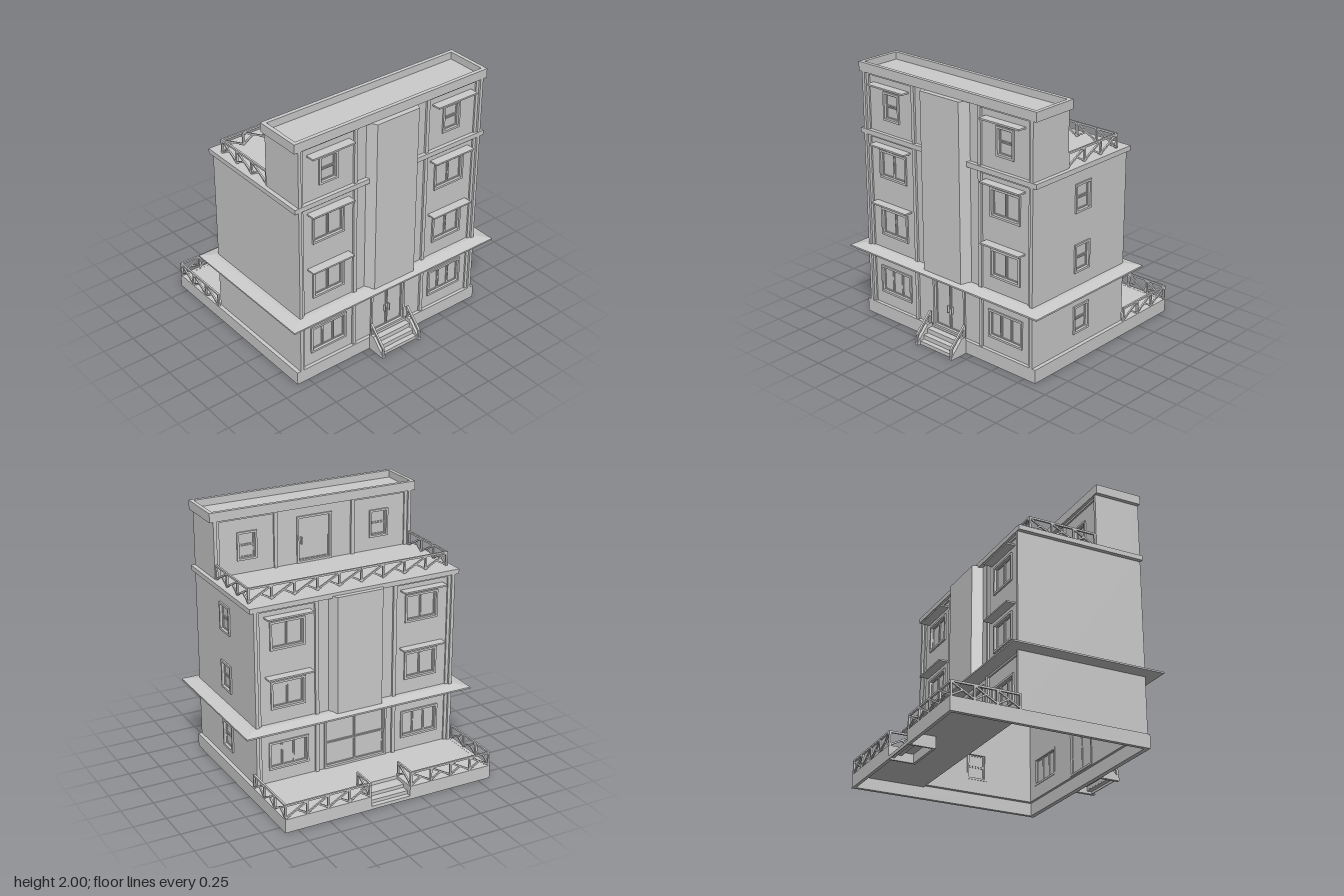
import * as THREE from 'three';

const mat = new THREE.MeshStandardMaterial({ color: 0xcccccc, side: THREE.DoubleSide });
const T = 0.03; // wall thickness

function add(parent, name, geo) {
  const m = new THREE.Mesh(geo, mat);
  m.name = name;
  parent.add(m);
  return m;
}

function box(parent, name, x0, x1, y0, y1, z0, z1) {
  const m = add(parent, name, new THREE.BoxGeometry(x1 - x0, y1 - y0, z1 - z0));
  m.position.set((x0 + x1) / 2, (y0 + y1) / 2, (z0 + z1) / 2);
  return m;
}

function group(parent, name, x = 0, z = 0, ry = 0) {
  const g = new THREE.Group();
  g.name = name;
  g.position.set(x, 0, z);
  g.rotation.y = ry;
  parent.add(g);
  return g;
}

const rect = (x0, x1, y0, y1) => [[x0, y0], [x1, y0], [x1, y1], [x0, y1]];
const vecs = pts => pts.map(p => new THREE.Vector2(p[0], p[1]));

function extrude(pts, holes, depth) {
  const s = new THREE.Shape(vecs(pts));
  for (const h of holes) s.holes.push(new THREE.Path(vecs(h)));
  return new THREE.ExtrudeGeometry(s, { depth, bevelEnabled: false });
}

// Horizontal plate from an outline given as [x, z]
function plateGeo(pts, holes, y0, y1) {
  const flip = a => a.map(([x, z]) => [x, -z]);
  return extrude(flip(pts), holes.map(flip), y1 - y0).rotateX(-Math.PI / 2).translate(0, y0, 0);
}

// Upright wall with its outer face on local z = 0, cut by [x0, x1, y0, y1] openings
function wall(parent, x0, x1, y0, y1, openings = []) {
  add(parent, 'wall', extrude(rect(x0, x1, y0, y1), openings.map(o => rect(...o)), T).translate(0, 0, -T));
}

// Framed window or glazed door filling an opening
function glazing(parent, name, [x0, x1, y0, y1], cols, rows, f = 0.016) {
  const g = group(parent, name);
  const ring = (n, a, b, c, d, w, z0, z1) => add(g, n,
    extrude(rect(a, b, c, d), [rect(a + w, b - w, c + w, d - w)], z1 - z0).translate(0, 0, z0));
  ring('frame', x0, x1, y0, y1, f, -T - 0.004, 0.012);
  const w = (x1 - x0 - 2 * f) / cols, h = (y1 - y0 - 2 * f) / rows;
  for (let i = 0; i < cols; i++) for (let j = 0; j < rows; j++) {
    const a = x0 + f + i * w, b = y0 + f + j * h;
    ring('sash', a + 0.002, a + w - 0.002, b + 0.002, b + h - 0.002, 0.008, -0.022, -0.006);
  }
  box(g, 'pane', x0 + f, x1 - f, y0 + f, y1 - f, -0.018, -0.013);
}

function awning(parent, x, y) {
  box(parent, 'awning', x - 0.18, x + 0.18, y - 0.006, y + 0.006, -0.01, 0.07);
}

// Corner and inner pilasters, mirrored, with a slim band at the top
function pilasters(parent, y0, y1) {
  for (const s of [-1, 1]) {
    const strip = (a, b, d) => box(parent, 'pilaster', Math.min(s * a, s * b), Math.max(s * a, s * b), y0, y1, -0.01, d);
    strip(0.795, 0.82, 0.028);
    strip(0.77, 0.795, 0.012);
    strip(0.307, 0.335, 0.016);
    box(parent, 'topBand', Math.min(s * 0.335, s * 0.77), Math.max(s * 0.335, s * 0.77), y1 - 0.018, y1, -0.01, 0.012);
  }
}

// Hollow projecting bay with slanted cheeks
function bay(parent, y0, y1) {
  const outer = [[-0.228, -0.01], [-0.185, 0.073], [0.185, 0.073], [0.228, -0.01]];
  const inner = [[0.2, -0.01], [0.165, 0.05], [-0.165, 0.05], [-0.2, -0.01]];
  add(parent, 'bay', plateGeo([...outer, ...inner], [], y0, y1));
  add(parent, 'bayCap', plateGeo(outer, [], y1 - 0.012, y1 - 0.001));
}

function bar(parent, name, a, b, t = 0.012) {
  const p = new THREE.Vector3(...a), q = new THREE.Vector3(...b);
  const m = add(parent, name, new THREE.BoxGeometry(t, t, p.distanceTo(q)));
  m.position.copy(p).add(q).multiplyScalar(0.5);
  m.lookAt(q);
}

// Braced railing between two [x, z] points
function railing(parent, a, b, n, y, h = 0.113) {
  const g = group(parent, 'railing');
  const at = (t, v) => [a[0] + (b[0] - a[0]) * t, y + v, a[1] + (b[1] - a[1]) * t];
  bar(g, 'topRail', at(0, h - 0.006), at(1, h - 0.006), 0.014);
  for (let i = 0; i <= n; i++) {
    bar(g, 'post', at(i / n, 0), at(i / n, h), 0.015);
    if (i === n) break;
    bar(g, 'brace', at(i / n, 0.008), at((i + 1) / n, h - 0.01));
    bar(g, 'strut', at((i + 0.5) / n, h / 2), at((i + 1) / n, 0.008));
  }
}

// Open-backed steps; each entry is [top y, z inner, z outer]
function steps(parent, list, halfWidth) {
  for (const [y, zi, zo] of list) {
    box(parent, 'tread', -halfWidth, halfWidth, y - 0.01, y, Math.min(zi, zo), Math.max(zi, zo));
    const d = Math.sign(zo - zi) * 0.006;
    box(parent, 'riser', -halfWidth, halfWidth, Math.max(0, y - 0.036), y - 0.01, Math.min(zo - d, zo), Math.max(zo - d, zo));
  }
}

export function createModel() {
  const root = new THREE.Group();
  root.name = 'building';

  // Hollow plinth with a stair notch, and the back terrace deck
  const notched = (x, z0, z1, nx, nz) => [[-x, z0], [-nx, z0], [-nx, nz], [nx, nz], [nx, z0], [x, z0], [x, z1], [-x, z1]];
  add(root, 'plinth', plateGeo(notched(0.85, -0.835, 0.682, 0.16, -0.645),
    [notched(0.82, -0.81, 0.645, 0.175, -0.625)], 0, 0.105));
  add(root, 'terraceDeck', plateGeo(notched(0.84, -0.825, -0.27, 0.165, -0.64), [], 0.09, 0.104));

  const front = group(root, 'frontFacade', 0, 0.655);
  const back = group(root, 'backFacade', 0, -0.297, Math.PI);
  const roofBack = group(root, 'penthouseBack', 0, 0.345, Math.PI);
  const sideR = group(root, 'windowedSide', 0.82, 0, Math.PI / 2);
  const sideL = group(root, 'plainSide', -0.82, 0, -Math.PI / 2);

  // Ground floor
  const triple = [-1, 1].map(s => [s * 0.55 - 0.16, s * 0.55 + 0.16, 0.205, 0.425]);
  const doorF = [-0.16, 0.16, 0.106, 0.5], doorB = [-0.26, 0.26, 0.106, 0.51];
  for (const [f, door] of [[front, doorF], [back, doorB]]) {
    wall(f, -0.82, 0.82, 0.1, 0.56, [...triple, door]);
    triple.forEach(o => glazing(f, 'tripleWindow', o, 3, 1));
    pilasters(f, 0.1, 0.55);
  }
  glazing(front, 'frontDoor', doorF, 2, 1);
  for (const s of [-1, 1]) box(front, 'doorHandle', s * 0.02 - 0.003, s * 0.02 + 0.003, 0.25, 0.305, -0.013, 0.008);
  glazing(back, 'terraceDoor', doorB, 2, 2);

  // Middle floors, plus the front of the top floor
  for (const s of [-1, 1]) {
    const pair = [0.685, 1.142].map(y => [s * 0.55 - 0.138, s * 0.55 + 0.138, y, y + 0.218]);
    const top = [s * 0.55 - 0.08, s * 0.55 + 0.08, 1.598, 1.815];
    const x0 = s < 0 ? -0.82 : 0.21, x1 = s < 0 ? -0.21 : 0.82;
    wall(front, x0, x1, 0.56, 1.94, [...pair, top]);
    wall(back, x0, x1, 0.56, 1.47, pair);
    for (const f of [front, back]) {
      pair.forEach(o => glazing(f, 'doubleWindow', o, 2, 1));
      awning(f, s * 0.55, 0.944);
      awning(f, s * 0.55, 1.4);
    }
    glazing(front, 'topWindow', top, 1, 2);
    awning(front, s * 0.55, 1.858);
  }
  pilasters(front, 0.57, 1.462);
  pilasters(front, 1.49, 1.932);
  pilasters(back, 0.57, 1.462);
  bay(front, 0.57, 1.932);
  bay(back, 0.57, 1.475);

  // Penthouse rear wall with roof terrace door
  const small = [-1, 1].map(s => [s * 0.55 - 0.08, s * 0.55 + 0.08, 1.598, 1.815]);
  const doorT = [-0.145, 0.145, 1.498, 1.86];
  wall(roofBack, -0.82, 0.82, 1.48, 1.94, [...small, doorT]);
  small.forEach(o => glazing(roofBack, 'topWindow', o, 1, 2));
  glazing(roofBack, 'roofDoor', doorT, 1, 1);
  box(roofBack, 'doorHandle', -0.108, -0.1, 1.64, 1.695, -0.013, 0.01);
  pilasters(roofBack, 1.49, 1.932);

  // Side walls: one with stacked sash windows, one plain
  const sash = [0.205, 0.685, 1.142].map(y => [-0.24, -0.075, y, y + 0.218]);
  wall(sideR, -0.655, 0.297, 0.1, 1.47, sash);
  sash.forEach(o => glazing(sideR, 'sashWindow', o, 1, 2));
  wall(sideL, -0.297, 0.655, 0.1, 1.47);
  wall(sideR, -0.655, -0.345, 1.47, 1.94);
  wall(sideL, 0.345, 0.655, 1.47, 1.94);

  // Hipped eave ring: the upper edge is drawn inward
  const eaveRim = rect(-0.933, 0.933, -0.416, 0.768), eaveHole = [rect(-0.79, 0.79, -0.267, 0.625)];
  add(root, 'eaveEdge', plateGeo(eaveRim, eaveHole, 0.546, 0.558));
  const hip = plateGeo(eaveRim, eaveHole, 0.558, 0.575), p = hip.attributes.position;
  for (let i = 0; i < p.count; i++) if (p.getY(i) > 0.566) {
    p.setX(i, THREE.MathUtils.clamp(p.getX(i), -0.85, 0.85));
    p.setZ(i, THREE.MathUtils.clamp(p.getZ(i), -0.335, 0.685));
  }
  hip.computeVertexNormals();
  add(root, 'eaveSlope', hip);

  // Roof terrace slab, its front ledge broken by the bay
  add(root, 'terraceSlab', plateGeo([[-0.852, -0.33], [0.852, -0.33], [0.852, 0.685], [0.213, 0.685],
    [0.213, 0.62], [-0.213, 0.62], [-0.213, 0.685], [-0.852, 0.685]], [], 1.46, 1.497));

  // Top roof with parapet
  add(root, 'parapet', plateGeo(rect(-0.85, 0.85, 0.312, 0.685), [rect(-0.82, 0.82, 0.342, 0.655)], 1.93, 2));
  box(root, 'roof', -0.83, 0.83, 1.932, 1.945, 0.33, 0.67);

  // Railings of both terraces
  for (const s of [-1, 1]) {
    railing(root, [s * 0.842, -0.32], [s * 0.842, -0.826], 3, 0.104);
    railing(root, [s * 0.842, -0.826], [s * 0.17, -0.826], 4, 0.104);
    railing(root, [s * 0.17, -0.826], [s * 0.17, -0.645], 1, 0.104);
    railing(root, [s * 0.807, 0.31], [s * 0.807, -0.22], 3, 1.495);
  }
  railing(root, [0.807, -0.22], [-0.807, -0.22], 9, 1.495);

  // Back steps inside the notch
  const backStairs = group(root, 'backSteps');
  steps(backStairs, [[0.078, -0.645, -0.74], [0.052, -0.735, -0.795], [0.026, -0.79, -0.833]], 0.16);

  // Front steps with stringers and handrails
  const stairs = group(root, 'frontSteps');
  steps(stairs, [[0.1, 0.68, 0.73], [0.062, 0.725, 0.77], [0.028, 0.765, 0.808]], 0.162);
  const profile = [[0.68, 0], [0.835, 0], [0.835, 0.02], [0.727, 0.132], [0.68, 0.132]];
  for (const s of [-1, 1]) {
    add(stairs, 'stringer', extrude(profile.map(([z, y]) => [-z, y]), [], 0.026)
      .rotateY(Math.PI / 2).translate(s * 0.173 - 0.013, 0, 0));
    bar(stairs, 'post', [s * 0.173, 0.01, 0.825], [s * 0.173, 0.085, 0.825], 0.015);
    bar(stairs, 'post', [s * 0.173, 0.12, 0.69], [s * 0.173, 0.215, 0.69], 0.015);
    bar(stairs, 'handrail', [s * 0.173, 0.078, 0.828], [s * 0.173, 0.225, 0.682], 0.016);
  }
  return root;
}
